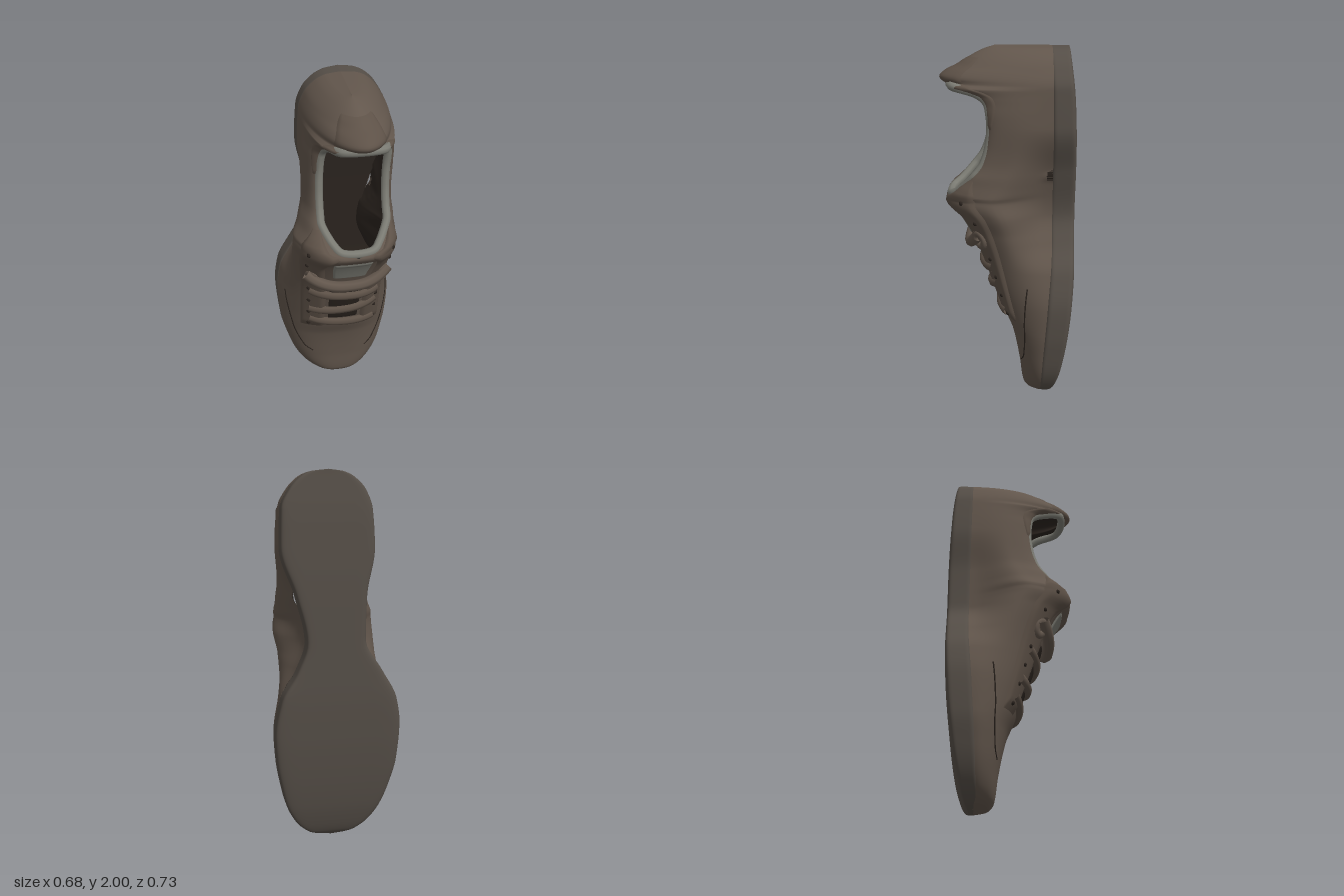
import * as THREE from 'three';
import { mergeGeometries, mergeVertices } from 'three/addons/utils/BufferGeometryUtils.js';

// Smooth monotone interpolation through [y, value] pairs
function table(pts) {
  const n = pts.length;
  const d = (i) => (pts[i + 1][1] - pts[i][1]) / (pts[i + 1][0] - pts[i][0]);
  const m = pts.map((_, i) => {
    if (i === 0) return d(0);
    if (i === n - 1) return d(n - 2);
    const a = d(i - 1), b = d(i);
    return a * b <= 0 ? 0 : (2 * a * b) / (a + b);
  });
  return (y) => {
    let i = 0;
    while (i < n - 2 && y > pts[i + 1][0]) i++;
    const w = pts[i + 1][0] - pts[i][0];
    const t = THREE.MathUtils.clamp((y - pts[i][0]) / w, 0, 1), t2 = t * t, t3 = t2 * t;
    return (2 * t3 - 3 * t2 + 1) * pts[i][1] + (t3 - 2 * t2 + t) * w * m[i]
      + (3 * t2 - 2 * t3) * pts[i + 1][1] + (t3 - t2) * w * m[i + 1];
  };
}

// Sizes along the shoe, from the toe (y = 0) to the heel (y = 2)
const soleL = table([[0, 0.02], [0.01, -0.055], [0.03, -0.11], [0.1, -0.192], [0.2, -0.252], [0.3, -0.288], [0.45, -0.325],
  [0.65, -0.338], [0.8, -0.315], [0.95, -0.235], [1.12, -0.142], [1.35, -0.148], [1.6, -0.19], [1.8, -0.18], [1.9, -0.145], [1.96, -0.09], [1.99, -0.03], [2, 0.05]]);
const soleR = table([[0, 0.02], [0.01, 0.1], [0.03, 0.15], [0.1, 0.222], [0.2, 0.272], [0.3, 0.298], [0.45, 0.325],
  [0.6, 0.335], [0.8, 0.298], [0.95, 0.215], [1.1, 0.165], [1.35, 0.22], [1.6, 0.3], [1.8, 0.295], [1.9, 0.25], [1.96, 0.195], [1.99, 0.135], [2, 0.05]]);
const upperL = table([[0, 0.02], [0.01, -0.045], [0.03, -0.1], [0.1, -0.182], [0.2, -0.242], [0.3, -0.277], [0.45, -0.312],
  [0.65, -0.322], [0.8, -0.318], [1, -0.315], [1.18, -0.315], [1.28, -0.26], [1.4, -0.22], [1.6, -0.205], [1.8, -0.18], [1.9, -0.145], [1.96, -0.09], [1.99, -0.03], [2, 0.05]]);
const upperR = table([[0, 0.02], [0.01, 0.09], [0.03, 0.14], [0.1, 0.212], [0.2, 0.262], [0.3, 0.287], [0.45, 0.315],
  [0.6, 0.322], [0.8, 0.315], [1, 0.32], [1.12, 0.34], [1.28, 0.305], [1.4, 0.295], [1.6, 0.31], [1.8, 0.295], [1.9, 0.25], [1.96, 0.195], [1.99, 0.135], [2, 0.05]]);
const soleBottom = table([[0, -0.215], [0.03, -0.24], [0.1, -0.267], [0.2, -0.293], [0.4, -0.325], [0.6, -0.345], [0.85, -0.357], [1.3, -0.358], [1.7, -0.345], [2, -0.315]]);
const soleTop = table([[0, -0.19], [0.05, -0.17], [0.2, -0.175], [0.6, -0.2], [1, -0.225], [2, -0.215]]);
const ridge = table([[0, -0.17], [0.02, -0.11], [0.06, -0.082], [0.2, -0.062], [0.4, -0.02], [0.5, 0.022], [0.6, 0.06], [0.72, 0.105],
  [0.87, 0.16], [1, 0.215], [1.1, 0.27], [1.19, 0.345], [1.24, 0.285], [1.3, 0.225], [1.4, 0.15], [1.5, 0.12], [1.6, 0.11], [1.7, 0.12], [1.75, 0.15],
  [1.78, 0.22], [1.8, 0.31], [1.84, 0.365], [1.87, 0.335], [1.9, 0.275], [1.95, 0.2], [1.98, 0.14], [2, 0.08]]);
const gap = table([[0, 0], [1.2, 0], [1.21, 0.07], [1.235, 0.115], [1.28, 0.15], [1.34, 0.178], [1.65, 0.178], [1.74, 0.165], [1.78, 0.14], [1.8, 0.1], [1.812, 0], [2, 0]]);
const power = table([[0, 0.7], [0.3, 0.75], [0.6, 0.9], [0.85, 0.83], [1.1, 0.65], [1.22, 0.65], [1.4, 0.85], [1.6, 0.85], [1.8, 1.05], [2, 1.05]]);
const middle = table([[0, 0.02], [0.7, 0.015], [1.25, 0.045], [1.5, 0.05], [1.84, 0.068], [2, 0.05]]);

// Point on the upper: side s = +1 or -1, t = 0 at the sole, 1 at the ridge or rim
function skin(y, s, t, inset = 0) {
  const a = t * Math.PI / 2, c = middle(y), h = gap(y);
  const blend = THREE.MathUtils.smoothstep(t, 0, 0.42);
  const edge = s > 0 ? THREE.MathUtils.lerp(soleR(y), upperR(y), blend) : THREE.MathUtils.lerp(soleL(y), upperL(y), blend);
  const reach = Math.max(0, s * (edge - c) - h - inset * Math.min(1, (1 - t) * 5));
  const drop = h > 0.01 ? inset * 0.3 : inset;
  const z0 = soleTop(y) - 0.01;
  return new THREE.Vector3(c + s * (h + reach * Math.max(0, Math.cos(a)) ** power(y)), y,
    z0 + Math.max(0.005, ridge(y) - drop - z0) * Math.sin(a));
}

// Point raised off the upper along its normal
function raised(y, s, t, off) {
  const e = 0.01, t0 = Math.min(t, 0.98);
  const du = skin(y, s, t0 + e).sub(skin(y, s, t0 - e)), dv = skin(y + e, s, t0).sub(skin(y - e, s, t0));
  const normal = dv.cross(du).multiplyScalar(s);
  normal.x *= Math.min(1, (1 - t) * 8);
  return skin(y, s, t).addScaledVector(normal.normalize(), off);
}

function grid(f, nu, nv) {
  const pos = [], idx = [];
  for (let j = 0; j <= nv; j++) for (let i = 0; i <= nu; i++) pos.push(...f(i / nu, j / nv).toArray());
  for (let j = 0; j < nv; j++) for (let i = 0; i < nu; i++) {
    const a = j * (nu + 1) + i, b = a + nu + 1;
    idx.push(a, b, a + 1, a + 1, b, b + 1);
  }
  const g = new THREE.BufferGeometry();
  g.setAttribute('position', new THREE.Float32BufferAttribute(pos, 3));
  g.setIndex(idx);
  return g;
}

function weld(parts) {
  const g = mergeVertices(mergeGeometries(parts), 1e-4);
  g.computeVertexNormals();
  return g;
}

// Both halves of a skin, sewn along the ridge
const shell = (y0, y1, inset, rows) => weld([1, -1].map((s) => grid((u, v) => {
  const k = y0 === 0 ? (v < 0.1 ? v * v * 5 : v > 0.9 ? 1 - (1 - v) ** 2 * 5 : 0.05 + (v - 0.1) * 1.125) : v;
  return skin(y0 + (y1 - y0) * k, s, s > 0 ? u : 1 - u, inset);
}, 22, rows)));

// Raised panel on both sides; t limits follow y, and edges taper except along the ridge
const panel = (y0, y1, tLow, tHigh, off) => weld([1, -1].map((s) => grid((u, v) => {
  const y = y0 + (y1 - y0) * v, w = s > 0 ? u : 1 - u, top = tHigh(y);
  const border = Math.min(1, w * 7, top === 1 ? 1 : (1 - w) * 7, Math.min(v, 1 - v) * 14);
  return raised(y, s, THREE.MathUtils.lerp(tLow(y), top, w), off * border - 0.002);
}, 16, 50)));

export function createModel() {
  const group = new THREE.Group();
  const mat = (color) => new THREE.MeshStandardMaterial({ color, side: THREE.DoubleSide });
  const leather = mat(0x62564c), trim = mat(0x5d5147), rubber = mat(0x554e47), dark = mat(0x2a231e), pale = mat(0x7c7c74);
  const add = (name, geometry, material) => {
    const mesh = new THREE.Mesh(geometry, material);
    mesh.name = name;
    group.add(mesh);
    return mesh;
  };
  const tube = (name, pts, r, material, closed = false) =>
    add(name, new THREE.TubeGeometry(new THREE.CatmullRomCurve3(pts, closed), closed ? 160 : 50, r, 8, closed), material);

  // Upper and its lining
  add('upper', shell(0, 2, 0, 220), leather);
  add('lining', shell(0.8, 1.94, 0.035, 140), dark);

  // Sole: crisp-edged slab with a waist and a turned-up toe
  add('sole', weld([grid((u, v) => {
    const y = 1 - Math.cos(v * Math.PI), a = u * Math.PI * 2, c = middle(y);
    const cos = Math.cos(a), sin = Math.sin(a);
    const reach = (cos > 0 ? soleR(y) - c : c - soleL(y)) + 0.004 * Math.sin(v * Math.PI);
    const low = soleBottom(y), high = soleTop(y);
    return new THREE.Vector3(c + reach * Math.sign(cos) * Math.abs(cos) ** 0.2, y,
      (low + high) / 2 + (high - low) / 2 * Math.sign(sin) * Math.abs(sin) ** 0.27);
  }, 72, 110)]), rubber);
  add('insole', weld([grid((u, v) => {
    const y = 0.8 + v * 1.12;
    return new THREE.Vector3(THREE.MathUtils.lerp(soleR(y) - 0.02, soleL(y) + 0.02, u), y, soleTop(y) + 0.03);
  }, 8, 40)]), dark);

  // Padded collar round the foot opening
  const rim = [];
  for (const s of [1, -1]) for (let i = 0; i <= 20; i++) rim.push(skin(1.215 + (s > 0 ? i : 20 - i) * 0.0292, s, 1));
  rim.forEach((p) => { p.z -= 0.014; });
  tube('collar', rim, 0.023, pale, true);

  // Dark hollow under the laces, eyestays, tongue patch and heel collar
  add('laceGap', panel(0.57, 0.93, () => 0.84, () => 1, 0.004), dark);
  add('eyestay', panel(0.49, 1.32, (y) => 0.5 + 0.3 * Math.max(0, (y - 1.2) / 0.12),
    (y) => 0.82 + 0.13 * THREE.MathUtils.smoothstep(y, 1.05, 1.25), 0.016), trim);
  add('tonguePatch', panel(0.98, 1.13, () => 0.885, () => 1, 0.01), pale);
  add('heelCollar', panel(1.58, 1.95, (y) => 0.8 - 0.22 * Math.sin((y - 1.58) / 0.37 * Math.PI * 0.8), () => 1, 0.007), trim);

  // Toe seams and eyelets, mirrored
  for (const s of [1, -1]) {
    const seam = [];
    for (let i = 0; i <= 12; i++) seam.push(raised(0.24 + i * 0.04, s, 0.66 - 0.42 * Math.sqrt(i / 12), 0));
    tube('toeSeam', seam, 0.004, dark);
    for (let i = 0; i < 7; i++) {
      const eyelet = add('eyelet', new THREE.SphereGeometry(0.013, 10, 8), dark);
      eyelet.position.copy(raised(0.54 + i * 0.108, s, 0.63, 0.009));
    }
  }

  // Broad laces crossing from eyestay to eyestay, slightly slanted
  for (let i = 0; i < 3; i++) {
    const pts = [];
    for (let k = -6; k <= 6; k++) {
      const f = Math.abs(k) / 6;
      pts.push(raised(0.55 + i * 0.13 + 0.018 * f * f + k * 0.003 * (i % 2 ? 1 : -1), k < 0 ? -1 : 1, 1 - 0.36 * f, 0));
    }
    tube('lace', pts, 0.03, trim);
  }

  // Bow: sagging band with a small loop at each side
  const band = [];
  for (let k = -6; k <= 6; k++) band.push(raised(0.94 + 0.0022 * k * k, k < 0 ? -1 : 1, 1 - 0.06 * Math.abs(k), 0.03));
  tube('bowBand', band, 0.032, leather);
  for (const s of [1, -1]) {
    const loop = add('bowLoop', new THREE.TorusGeometry(0.03, 0.018, 8, 20), leather);
    loop.position.copy(raised(0.98, s, 0.68, 0.012));
    loop.rotation.set(0.35, s * 0.8, 0);
    loop.scale.y = 1.3;
  }
  return group;
}
